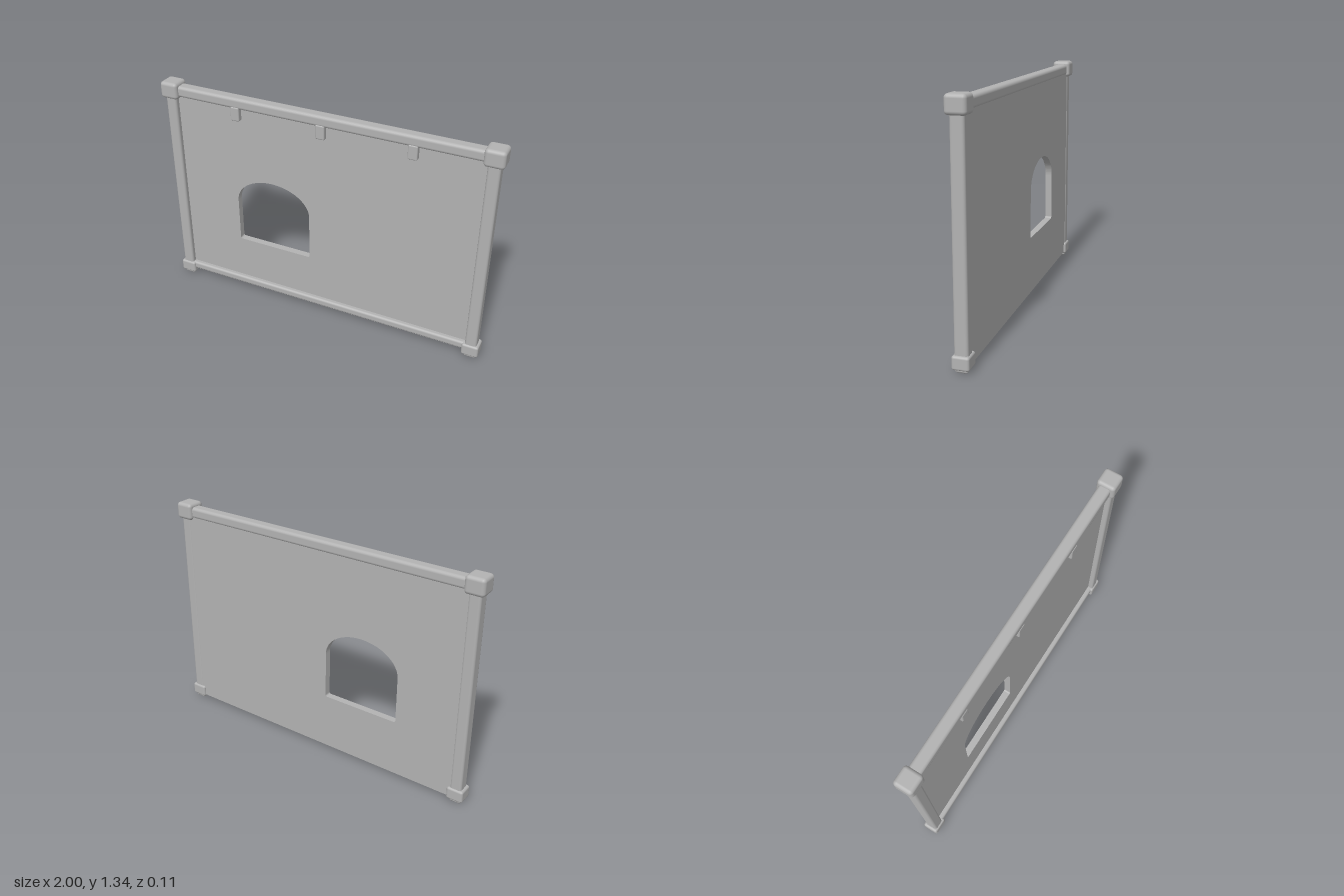
import * as THREE from 'three';
import { RoundedBoxGeometry } from 'three/addons/geometries/RoundedBoxGeometry.js';

export function createModel() {
  const model = new THREE.Group();
  model.name = 'framedWallPanel';
  const grey = new THREE.MeshStandardMaterial({ color: 0xb2b2b2 });
  grey.name = 'plain grey';

  const add = (name, geometry, x = 0, y = 0, z = 0) => {
    const mesh = new THREE.Mesh(geometry, grey);
    mesh.name = name;
    mesh.position.set(x, y, z);
    model.add(mesh);
    return mesh;
  };
  // Rounded block given by its lower and upper corners
  const block = (name, [x0, y0, z0], [x1, y1, z1], radius) =>
    add(name, new RoundedBoxGeometry(x1 - x0, y1 - y0, z1 - z0, 3, radius),
      (x0 + x1) / 2, (y0 + y1) / 2, (z0 + z1) / 2);

  // Wall sheet with an arched opening
  const wall = new THREE.Shape();
  wall.moveTo(-0.955, 0.027);
  wall.lineTo(0.955, 0.027);
  wall.lineTo(0.955, 1.27);
  wall.lineTo(-0.955, 1.27);
  wall.closePath();

  const left = -0.55, right = -0.08, sill = 0.365, spring = 0.645, r = 0.012;
  const arch = new THREE.Path();
  arch.moveTo(left + r, sill);
  arch.lineTo(right - r, sill);
  arch.quadraticCurveTo(right, sill, right, sill + r);
  arch.lineTo(right, spring);
  arch.absellipse((left + right) / 2, spring, (right - left) / 2, 0.163, 0, Math.PI, false);
  arch.lineTo(left, sill + r);
  arch.quadraticCurveTo(left, sill, left + r, sill);
  wall.holes.push(arch);
  add('wallSheet', new THREE.ExtrudeGeometry(wall, {
    depth: 0.04, bevelEnabled: false, curveSegments: 24,
  }), 0, 0, -0.033);

  // Rails
  block('topRail', [-0.95, 1.25, -0.038], [0.95, 1.315, 0.034], 0.018);
  block('bottomRail', [-0.95, 0.045, -0.025], [0.95, 0.092, 0.034], 0.014);

  // Posts with their corner caps and feet
  for (const side of [-1, 1]) {
    const x = side * 0.943;
    block('post', [x - 0.034, 0.05, -0.037], [x + 0.034, 1.29, 0.037], 0.015);
    block('topCap', [x - 0.055, 1.237, -0.055], [x + 0.055, 1.335, 0.055], 0.02);
    block('bottomCap', [x - 0.049, 0.016, -0.046], [x + 0.049, 0.09, 0.046], 0.013);
    block('foot', [x - 0.034, 0, -0.034], [x + 0.034, 0.04, 0.034], 0.01);
  }

  // Small tabs hanging below the top rail
  for (const x of [-0.523, 0, 0.523]) {
    block('tab', [x - 0.027, 1.178, -0.01], [x + 0.027, 1.262, 0.036], 0.008);
  }

  return model;
}
